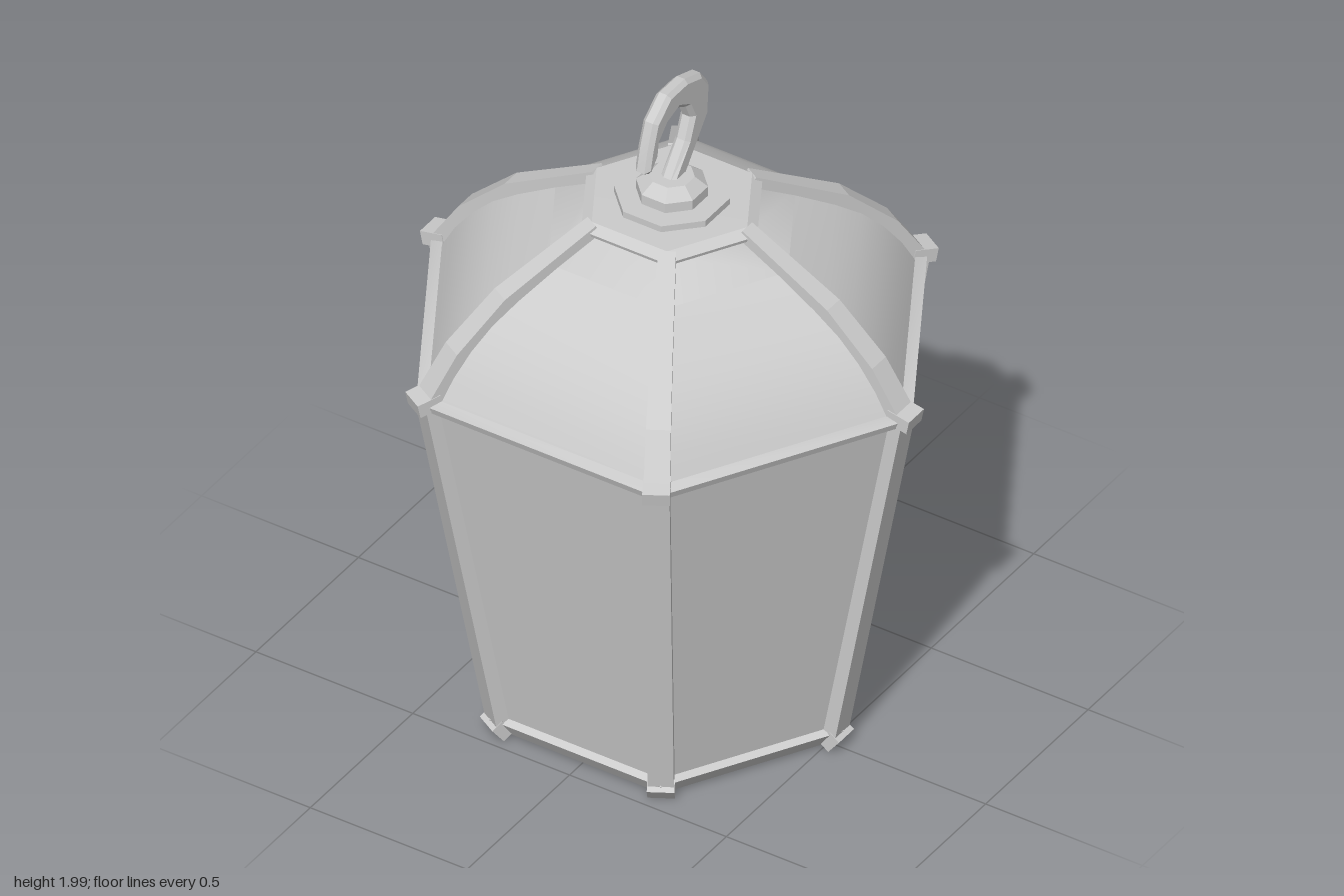
import * as THREE from 'three';
import { toCreasedNormals } from 'three/addons/utils/BufferGeometryUtils.js';

const material = new THREE.MeshStandardMaterial({ color: 0xcccccc });
const toPoints = (list) => list.map(([x, y]) => new THREE.Vector2(x, y));

function addMesh(parent, name, geometry, crease = 0.52) {
  const mesh = new THREE.Mesh(toCreasedNormals(geometry, crease), material);
  mesh.name = name;
  parent.add(mesh);
  return mesh;
}

// Faceted solid of revolution, profile listed from the bottom up
function prism(profile, sides, start) {
  return new THREE.LatheGeometry(toPoints(profile), sides, start);
}

// Bar cut from a radius/height outline, centred across its width
function slab(outline, width) {
  const geometry = new THREE.ExtrudeGeometry(new THREE.Shape(toPoints(outline)), { depth: width, bevelEnabled: false });
  return geometry.translate(0, 0, -width / 2);
}

export function createModel() {
  const lantern = new THREE.Group();
  lantern.name = 'lantern';
  const hex = (name, profile) => addMesh(lantern, name, prism(profile, 6, Math.PI / 2));
  const oct = (name, profile) => addMesh(lantern, name, prism(profile, 8, Math.PI / 8), 0.1);

  // Panels: floor, sloping walls, domed roof
  hex('floor', [[0, 0.045], [0.52, 0.045]]);
  hex('walls', [[0.52, 0.045], [0.735, 1.19]]);
  hex('roof', [[0.735, 1.19], [0.69, 1.27], [0.635, 1.342], [0.57, 1.405], [0.49, 1.46], [0.37, 1.53], [0.235, 1.6]]);

  // Horizontal frame rings and the top plate
  hex('bottomRim', [[0.485, 0.05], [0.485, 0.022], [0.515, 0.022], [0.548, 0.068], [0.525, 0.08]]);
  hex('eavesRim', [[0.725, 1.178], [0.757, 1.178], [0.766, 1.2], [0.73, 1.21]]);
  hex('topPlate', [[0.22, 1.59], [0.268, 1.597], [0.272, 1.608], [0.24, 1.626], [0, 1.628]]);

  // Six corners: post, roof rib, floor spoke and end blocks
  const post = slab([[0.515, 0.03], [0.541, 0.05], [0.755, 1.2], [0.715, 1.2], [0.5, 0.05]], 0.07);
  const rib = slab([
    [0.715, 1.19], [0.755, 1.2], [0.66, 1.345], [0.515, 1.478], [0.24, 1.627],
    [0.22, 1.595], [0.49, 1.445], [0.625, 1.325],
  ], 0.07);
  const position = rib.attributes.position;
  for (let i = 0; i < position.count; i++) {
    const t = (position.getX(i) - 0.24) / 0.5;
    position.setZ(i, position.getZ(i) * (0.68 + 0.32 * t));
  }
  const spoke = slab([[0, 0.024], [0.515, 0.024], [0.515, 0.05], [0, 0.05]], 0.06);

  for (let i = 0; i < 6; i++) {
    const corner = new THREE.Group();
    corner.name = 'cornerFrame';
    corner.rotation.y = (i * Math.PI) / 3;
    lantern.add(corner);
    addMesh(corner, 'post', post, 0.1);
    addMesh(corner, 'roofRib', rib, 0.1);
    addMesh(corner, 'floorSpoke', spoke, 0.1);
    const upper = addMesh(corner, 'upperBlock', new THREE.BoxGeometry(0.07, 0.042, 0.074), 0.1);
    upper.position.set(0.741, 1.203, 0);
    upper.rotation.z = -0.2;
    const lower = addMesh(corner, 'lowerBlock', new THREE.BoxGeometry(0.038, 0.056, 0.074), 0.1);
    lower.position.set(0.524, 0.045, 0);
    lower.rotation.z = -0.66;
  }

  // Stepped collar under the hook
  oct('collarBase', [[0, 1.62], [0.158, 1.62], [0.158, 1.646], [0, 1.646]]);
  oct('collar', [[0, 1.64], [0.098, 1.64], [0.098, 1.676], [0.062, 1.704], [0, 1.704]]);

  // Hook: bevelled outline, opening towards the front
  const bevel = 0.012;
  const hookShape = new THREE.Shape(toPoints([
    [-0.035, 1.69], [-0.147, 1.83], [-0.154, 1.925], [-0.117, 1.975], [-0.043, 2.0],
    [0.043, 2.0], [0.112, 1.947], [0.138, 1.872], [0.154, 1.805], [0.133, 1.793],
    [0.096, 1.836], [0.09, 1.878], [0.053, 1.915], [0, 1.931], [-0.048, 1.904],
    [-0.069, 1.857], [-0.043, 1.793], [0.035, 1.69],
  ]));
  const hook = new THREE.ExtrudeGeometry(hookShape, {
    depth: 0.024, bevelThickness: bevel, bevelSize: bevel, bevelOffset: -bevel, bevelSegments: 1,
  });
  hook.translate(0, 0, -0.012).rotateY(-Math.PI / 2);
  addMesh(lantern, 'hook', hook, 0.1);

  return lantern;
}
